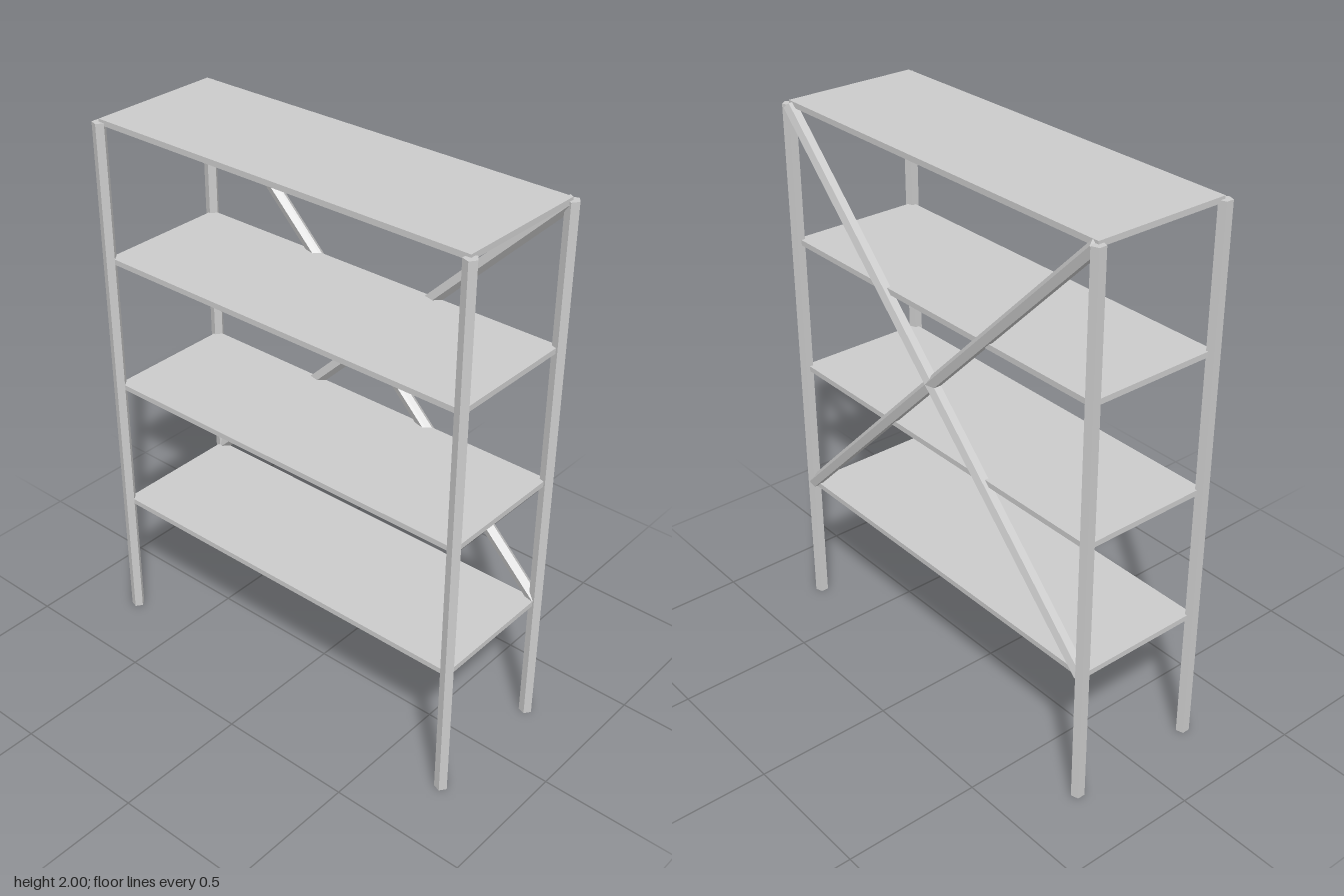
import * as THREE from 'three';

const HALF_W = 0.745, HALF_D = 0.249, LEVEL = 0.4975, R = 0.024;

export function createModel() {
  const model = new THREE.Group();
  model.name = 'shelvingUnit';
  const material = new THREE.MeshStandardMaterial({ color: 0xcccccc, flatShading: true });

  const add = (name, geometry, x, y, z) => {
    const mesh = new THREE.Mesh(geometry, material);
    mesh.name = name;
    mesh.position.set(x, y, z);
    model.add(mesh);
    return mesh;
  };

  // five-sided bar along y, one edge facing +x
  const bar = (length) => new THREE.CylinderGeometry(R, R, length, 5, 1, false, Math.PI / 2);

  // four corner posts
  for (const [side, x] of [['left', HALF_W], ['right', -HALF_W]]) {
    for (const [end, z] of [['Front', HALF_D], ['Back', -HALF_D]]) {
      add(`${side}${end}Post`, bar(LEVEL * 4), x, LEVEL * 2, z);
    }
  }

  // four evenly spaced shelves
  for (let i = 1; i <= 4; i++) {
    add(`shelf${i}`, new THREE.BoxGeometry(HALF_W * 2, 0.02, HALF_D * 2), 0, LEVEL * i, 0);
  }

  // crossed braces at the back, from the lowest shelf to the top
  for (const [name, s] of [['risingBrace', -1], ['fallingBrace', 1]]) {
    add(name, bar(2.092), 0, LEVEL * 2.5, -HALF_D).rotation.z = s * Math.PI / 4;
  }

  // even out the overhang of the posts' pointed edges
  model.children.forEach((part) => { part.position.x -= 0.0023; });
  return model;
}
